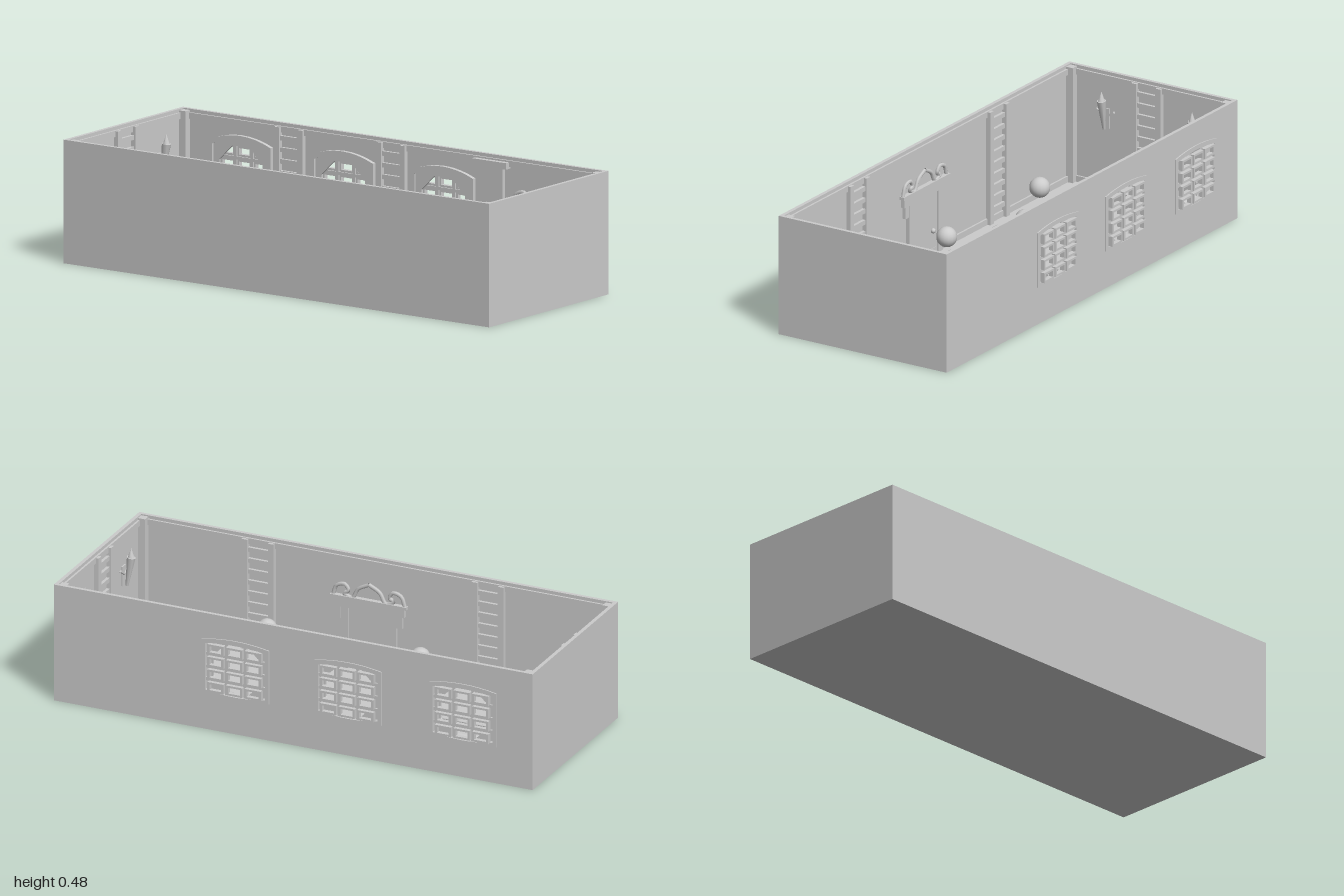
import * as THREE from 'three';

const mat = new THREE.MeshStandardMaterial({ color: 0xcccccc, side: THREE.DoubleSide });

function add(parent, name, geo, x = 0, y = 0, z = 0) {
  const m = new THREE.Mesh(geo, mat);
  m.name = name;
  m.position.set(x, y, z);
  parent.add(m);
  return m;
}
const box = (p, name, w, h, d, x, y, z) => add(p, name, new THREE.BoxGeometry(w, h, d), x, y, z);
const extrude = (shape, depth, opt = {}) =>
  new THREE.ExtrudeGeometry(shape, { depth, bevelEnabled: false, curveSegments: 8, ...opt });
function group(parent, name, x = 0, y = 0, z = 0, ry = 0) {
  const g = new THREE.Group();
  g.name = name;
  g.position.set(x, y, z);
  g.rotation.y = ry;
  parent.add(g);
  return g;
}

// Rectangle whose upper and lower edges bulge outward
function bulged(Type, w, h, b, x = 0, y = 0) {
  const s = new Type();
  s.moveTo(x - w / 2, y - h / 2);
  s.quadraticCurveTo(x, y - h / 2 - 2 * b, x + w / 2, y - h / 2);
  s.lineTo(x + w / 2, y + h / 2);
  s.quadraticCurveTo(x, y + h / 2 + 2 * b, x - w / 2, y + h / 2);
  s.closePath();
  return s;
}
function rect(Type, w, h, x = 0, y = 0) {
  return bulged(Type, w, h, 0, x, y);
}
function octagon(r) {
  const p = new THREE.Path();
  for (let i = 0; i < 8; i++) {
    const a = (i + 0.5) * Math.PI / 4;
    p[i ? 'lineTo' : 'moveTo'](r * Math.cos(a), r * Math.sin(a));
  }
  p.closePath();
  return p;
}

const H = 0.477, BACK = -0.372, FRONT = 0.388, T = 0.015;
const windowXs = [-0.71, -0.23, 0.24], windowY = 0.26;

function makeWindow(parent, x) {
  const w = group(parent, 'window', x, windowY, BACK);
  // outer frame and the inner panel with its octagonal opening
  const outer = bulged(THREE.Shape, 0.28, 0.22, 0.014);
  outer.holes.push(bulged(THREE.Path, 0.25, 0.19, 0.012));
  add(w, 'outerFrame', extrude(outer, 0.008), 0, 0, -0.005);
  const inner = bulged(THREE.Shape, 0.29, 0.23, 0.03);
  inner.holes.push(octagon(0.11));
  add(w, 'innerPanel', extrude(inner, 0.008), 0, 0, T);
  const rim = bulged(THREE.Shape, 0.29, 0.23, 0.03);
  rim.holes.push(bulged(THREE.Path, 0.26, 0.2, 0.028));
  add(w, 'innerRim', extrude(rim, 0.016), 0, 0, T);
  // lattice of framed panes
  for (const cx of [-0.078, 0, 0.078])
    for (const cy of [-0.078, -0.026, 0.026, 0.078]) {
      const s = rect(THREE.Shape, 0.068, 0.04);
      s.holes.push(rect(THREE.Path, 0.05, 0.024));
      add(w, 'paneFrame', extrude(s, 0.018), cx, cy, -0.016);
    }
  for (const bx of [-0.039, 0.039]) box(w, 'verticalBar', 0.012, 0.24, 0.008, bx, 0, 0.004);
  for (const by of [-0.052, 0, 0.052]) box(w, 'horizontalBar', 0.25, 0.012, 0.008, 0, by, 0.004);
}

// Wall pieces below face local +z, into the room
function slattedPost(parent, x, z, ry) {
  const g = group(parent, 'slattedPosts', x, 0, z, ry);
  for (const s of [-1, 1]) box(g, 'post', 0.024, H - 0.02, 0.02, s * 0.055, H / 2 - 0.005, 0.01);
  for (let i = 0; i < 9; i++) box(g, 'slat', 0.09, 0.018, 0.012, 0, 0.06 + i * 0.045, 0.008);
}
function door(parent, x, z, ry) {
  const g = group(parent, 'door', x, 0, z, ry);
  box(g, 'doorLeaf', 0.17, 0.25, 0.006, 0, 0.13, 0.004);
  for (const s of [-1, 1]) {
    box(g, 'jamb', 0.03, 0.26, 0.014, s * 0.1, 0.13, 0.007);
    box(g, 'bracket', 0.025, 0.05, 0.014, s * 0.128, 0.235, 0.007);
    const scroll = new THREE.CatmullRomCurve3([[0.15, 0.3], [0.135, 0.34], [0.1, 0.35], [0.085, 0.325],
      [0.105, 0.315], [0.07, 0.3], [0.045, 0.34], [0, 0.365]].map(p => new THREE.Vector3(s * p[0], p[1], 0.008)));
    add(g, 'scroll', new THREE.TubeGeometry(scroll, 24, 0.008, 6));
  }
  box(g, 'lintel', 0.3, 0.035, 0.016, 0, 0.275, 0.008);
  box(g, 'lintelCap', 0.32, 0.012, 0.02, 0, 0.298, 0.01);
  add(g, 'knob', new THREE.SphereGeometry(0.01, 10, 8), 0.05, 0.105, 0.014);
}
function torch(parent, x, z, ry) {
  const g = group(parent, 'torch', x, 0.29, z, ry);
  box(g, 'plate', 0.03, 0.08, 0.006, 0, 0, 0.003);
  const cup = add(g, 'torchCup', new THREE.CylinderGeometry(0.018, 0.006, 0.12, 8), 0, 0.02, 0.026);
  cup.rotation.x = 0.15;
  add(g, 'flame', new THREE.ConeGeometry(0.014, 0.04, 8), 0, 0.098, 0.035);
  for (const s of [-1, 1]) {
    const arm = box(g, 'arm', 0.045, 0.008, 0.008, s * 0.022, 0.02, 0.01);
    arm.rotation.z = s * 0.6;
  }
}

// Bar along x with plates at both ends
function barbell(parent, x, y, z, len, r, plates, plateX) {
  const g = group(parent, 'barbell', x, y, z);
  add(g, 'bar', new THREE.CylinderGeometry(0.004, 0.004, len, 8)).rotation.z = Math.PI / 2;
  for (const s of [-1, 1])
    plates.forEach(([k, w], i) => {
      add(g, 'plate', new THREE.CylinderGeometry(r * k, r * k, w, 16), s * (plateX + i * 0.018))
        .rotation.z = Math.PI / 2;
    });
}

function exerciseBike(parent, x, z, ry) {
  const g = group(parent, 'exerciseBike', x, 0.008, z, ry);
  for (const s of [-1, 1]) {
    box(g, 'foot', 0.018, 0.014, 0.08, s * 0.065, 0.007, 0);
    box(g, 'pedal', 0.025, 0.006, 0.02, s * 0.02 + 0.01, 0.035 + s * 0.015, s * 0.035);
    box(g, 'handle', 0.035, 0.008, 0.01, 0.045, 0.13, s * 0.026);
  }
  box(g, 'frame', 0.14, 0.02, 0.02, 0, 0.02, 0);
  add(g, 'flywheel', new THREE.CylinderGeometry(0.036, 0.036, 0.018, 16), 0.035, 0.045, 0).rotation.x = Math.PI / 2;
  box(g, 'seatPost', 0.012, 0.08, 0.012, -0.04, 0.065, 0);
  box(g, 'seat', 0.06, 0.014, 0.045, -0.04, 0.11, 0);
  box(g, 'handlePost', 0.014, 0.1, 0.014, 0.055, 0.08, 0);
  box(g, 'console', 0.02, 0.02, 0.06, 0.058, 0.135, 0);
}

export function createModel() {
  const room = new THREE.Group();
  room.name = 'trainingRoom';

  // Shell
  const midZ = (FRONT + BACK) / 2, depth = FRONT - BACK;
  box(room, 'floor', 2, 0.008, depth, 0, 0.004, midZ);
  box(room, 'frontWall', 2, H, T, 0, H / 2, FRONT - T / 2);
  for (const s of [-1, 1]) box(room, 'sideWall', T, H, depth, s * (1 - T / 2), H / 2, midZ);
  const wall = rect(THREE.Shape, 2, H, 0, H / 2);
  for (const x of windowXs) wall.holes.push(bulged(THREE.Path, 0.25, 0.19, 0.012, x, windowY));
  add(room, 'backWall', extrude(wall, T), 0, 0, BACK);
  windowXs.forEach(x => makeWindow(room, x));

  // Corner posts and wall rails
  const zb = BACK + T, zf = FRONT - T, xs = 1 - T;
  for (const s of [-1, 1]) {
    for (const z of [zb + 0.015, zf - 0.015]) box(room, 'cornerPost', 0.03, H - 0.01, 0.03, s * (xs - 0.015), H / 2, z);
    for (const y of [0.02, H - 0.025]) box(room, 'sideRail', 0.008, 0.024, depth - 0.04, s * (xs - 0.004), y, midZ);
  }
  for (const y of [0.02, H - 0.025]) {
    box(room, 'backRail', 1.95, 0.024, 0.008, 0, y, zb + 0.004);
    box(room, 'frontRail', 1.95, 0.024, 0.008, 0, y, zf - 0.004);
  }

  // Wall fittings
  for (const x of [-0.48, 0]) slattedPost(room, x, zb, 0);
  for (const x of [-0.47, 0.49]) slattedPost(room, x, zf, Math.PI);
  door(room, 0.72, zb, 0);
  door(room, 0.03, zf, Math.PI);
  for (const s of [-1, 1]) {
    slattedPost(room, s * xs, 0.02, -s * Math.PI / 2);
    for (const z of [-0.2, 0.21]) torch(room, s * xs, z, -s * Math.PI / 2);
  }
  const pilaster = group(room, 'pilaster', 0.47, 0, zb);
  box(pilaster, 'shaft', 0.11, 0.43, 0.016, 0, 0.22, 0.008);
  box(pilaster, 'cap', 0.16, 0.025, 0.028, 0, 0.445, 0.014);
  box(pilaster, 'base', 0.14, 0.03, 0.022, 0, 0.02, 0.011);

  // Floor mats with a ball above each
  for (const [x, z, bz] of [[-0.39, 0.125, 0.075], [0, -0.055, -0.07], [0.385, 0.125, 0.075]]) {
    add(room, 'mat', new THREE.BoxGeometry(0.33, 0.006, 0.25, 12, 1, 10), x, 0.011, z);
    add(room, 'ball', new THREE.SphereGeometry(0.04, 16, 12), Math.sign(x) * 0.32, 0.245, bz);
  }
  barbell(room, -0.003, 0.07, 0.135, 0.45, 0.062, [[0.8, 0.012], [1, 0.018]], 0.142);

  // Domed bench with a bar resting across it
  const bench = group(room, 'domedBench', -0.69, 0, -0.25);
  const dome = extrude(bulged(THREE.Shape, 0.19, 0.1, 0.015), 0.06,
    { bevelEnabled: true, bevelSize: 0.032, bevelThickness: 0.045, bevelSegments: 4 });
  add(bench, 'dome', dome.rotateX(-Math.PI / 2), 0, 0.045, 0);
  add(bench, 'crown', new THREE.CylinderGeometry(0.03, 0.05, 0.015, 6), 0, 0.157, 0);
  barbell(room, -0.695, 0.168, -0.25, 0.34, 0.035, [[1, 0.01]], 0.16);

  // Low chest beneath the middle window
  box(room, 'chest', 0.24, 0.09, 0.085, -0.23, 0.053, -0.303);
  box(room, 'chestLid', 0.246, 0.014, 0.09, -0.23, 0.105, -0.303);

  // Dumbbell racks
  for (const x of [0.113, 0.375]) {
    const rack = group(room, 'dumbbellRack', x, 0, -0.275);
    for (const s of [-1, 1]) box(rack, 'rackLeg', 0.012, 0.08, 0.1, s * 0.022, 0.048, 0);
    for (const y of [0.04, 0.09])
      for (const z of [-0.035, 0, 0.035]) barbell(rack, 0, y + 0.005, z, 0.12, 0.016, [[1, 0.014], [0.8, 0.01]], 0.036);
  }

  // Armchair facing the middle of the room
  const chair = group(room, 'armchair', -0.87, 0.008, 0);
  box(chair, 'seat', 0.16, 0.06, 0.14, 0.01, 0.05, 0);
  box(chair, 'backrest', 0.025, 0.16, 0.14, -0.08, 0.1, 0);
  for (const s of [-1, 1]) {
    box(chair, 'armrest', 0.17, 0.016, 0.02, 0.005, 0.11, s * 0.074);
    for (const x of [-0.08, 0.075]) box(chair, 'leg', 0.022, 0.11, 0.022, x, 0.055, s * 0.074);
  }

  exerciseBike(room, 0.84, 0.01, -0.6);
  exerciseBike(room, 0.84, 0.205, -0.6);
  return room;
}
